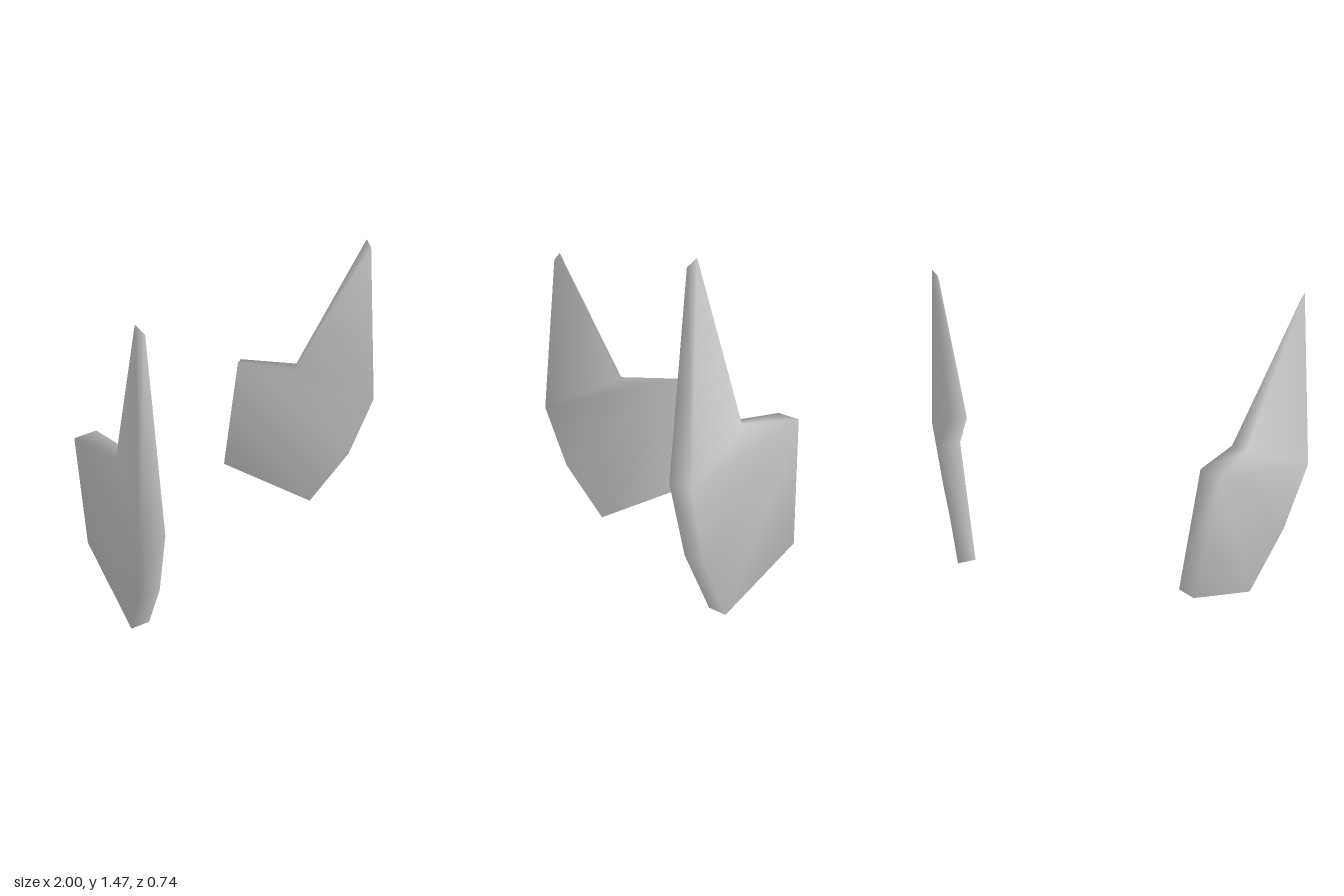
import * as THREE from 'three';

// Outline corners, clockwise from the tip: outer skin, then inner skin
const outer = [
  [0.915, 1.465, 0.265], // tip
  [0.735, 0.79, -0.02],  // notch
  [0.66, 0.775, -0.33],  // back top
  [0.575, 0.19, -0.37],  // back bottom
  [0.785, 0.0, 0.07],    // lower point
  [0.915, 0.29, 0.23],   // front low
  [1.0, 0.61, 0.32],     // front middle
];
const inner = [
  [0.9, 1.43, 0.3],
  [0.66, 0.79, 0.02],
  [0.565, 0.79, -0.285],
  [0.5, 0.2, -0.33],
  [0.71, 0.01, 0.11],
  [0.83, 0.3, 0.275],
  [0.9, 0.62, 0.37],
];

// Spire triangle, then a fan from the back top corner, counter-clockwise from outside
const skin = [[0, 6, 1], [2, 1, 6], [2, 6, 5], [2, 5, 4], [2, 4, 3]];

function plateGeometry(side) {
  const n = outer.length;
  const positions = [...outer, ...inner].flatMap(([x, y, z]) => [x * side, y, z]);
  const tris = [];
  for (const [a, b, c] of skin) {
    tris.push([a, b, c], [a + n, c + n, b + n]);
  }
  // Rim joining the two skins
  for (let i = 0; i < n; i++) {
    const j = (i + 1) % n;
    tris.push([i, j, j + n], [i, j + n, i + n]);
  }
  const geometry = new THREE.BufferGeometry();
  geometry.setAttribute('position', new THREE.Float32BufferAttribute(positions, 3));
  // Mirroring reverses the corner order
  geometry.setIndex(tris.flatMap(([a, b, c]) => (side > 0 ? [a, b, c] : [a, c, b])));
  // Shared corners give the soft, rounded shading
  geometry.computeVertexNormals();
  return geometry;
}

export function createModel() {
  const group = new THREE.Group();
  group.name = 'platePair';
  const grey = new THREE.MeshStandardMaterial({ color: 0xcccccc });
  grey.name = 'lightGrey';
  for (const [name, side] of [['leftPlate', 1], ['rightPlate', -1]]) {
    const plate = new THREE.Mesh(plateGeometry(side), grey);
    plate.name = name;
    group.add(plate);
  }
  return group;
}
